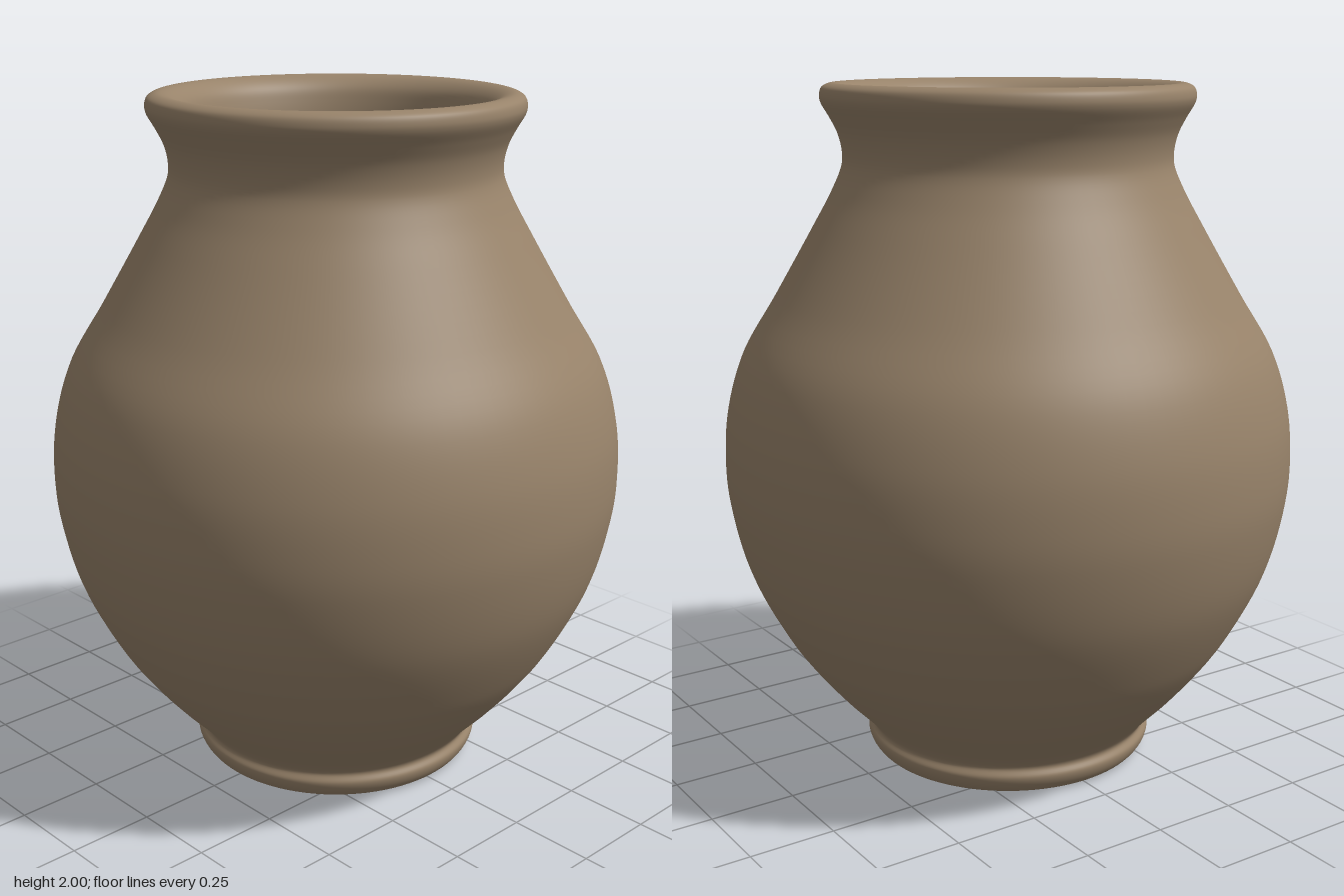
import * as THREE from 'three';

const SEGMENTS = 96;

// Smooth lathe through a few [radius, height] profile points
function turned(name, points, samples, material) {
  const curve = new THREE.CatmullRomCurve3(
    points.map(([r, y]) => new THREE.Vector3(r, y, 0)), false, 'centripetal');
  const profile = curve.getPoints(samples).map(p => new THREE.Vector2(p.x, p.y));
  const mesh = new THREE.Mesh(new THREE.LatheGeometry(profile, SEGMENTS), material);
  mesh.name = name;
  return mesh;
}

// Flat disc, facing up or down
function disc(name, radius, y, facing, material) {
  const mesh = new THREE.Mesh(new THREE.CircleGeometry(radius, SEGMENTS), material);
  mesh.name = name;
  mesh.rotation.x = -facing * Math.PI / 2;
  mesh.position.y = y;
  return mesh;
}

export function createModel() {
  const clay = new THREE.MeshStandardMaterial({ color: 0x98836a });
  clay.name = 'clay';

  const pot = new THREE.Group();
  pot.name = 'pot';

  // Foot, belly, neck, rolled rim and inner wall in one continuous profile
  pot.add(turned('potWall', [
    [0.39, 0], [0.41, 0.01], [0.428, 0.035], [0.433, 0.06], [0.422, 0.083], [0.437, 0.11],
    [0.53, 0.21], [0.605, 0.3], [0.675, 0.4], [0.775, 0.6], [0.825, 0.8],
    [0.834, 0.93], [0.822, 1.07], [0.775, 1.23], [0.675, 1.4], [0.56, 1.6],
    [0.505, 1.7], [0.476, 1.77], [0.474, 1.81], [0.485, 1.86], [0.507, 1.905], [0.53, 1.945],
    [0.534, 1.965], [0.527, 1.988], [0.5, 2], [0.465, 1.992], [0.435, 1.965], [0.42, 1.92],
    [0.405, 1.82], [0.38, 1.65], [0.34, 1.3], [0.3, 0.9], [0.27, 0.5], [0.25, 0.15],
  ], 200, clay));

  // Underside and inner floor
  pot.add(disc('underside', 0.39, 0, -1, clay));
  pot.add(disc('innerFloor', 0.25, 0.15, 1, clay));

  return pot;
}
